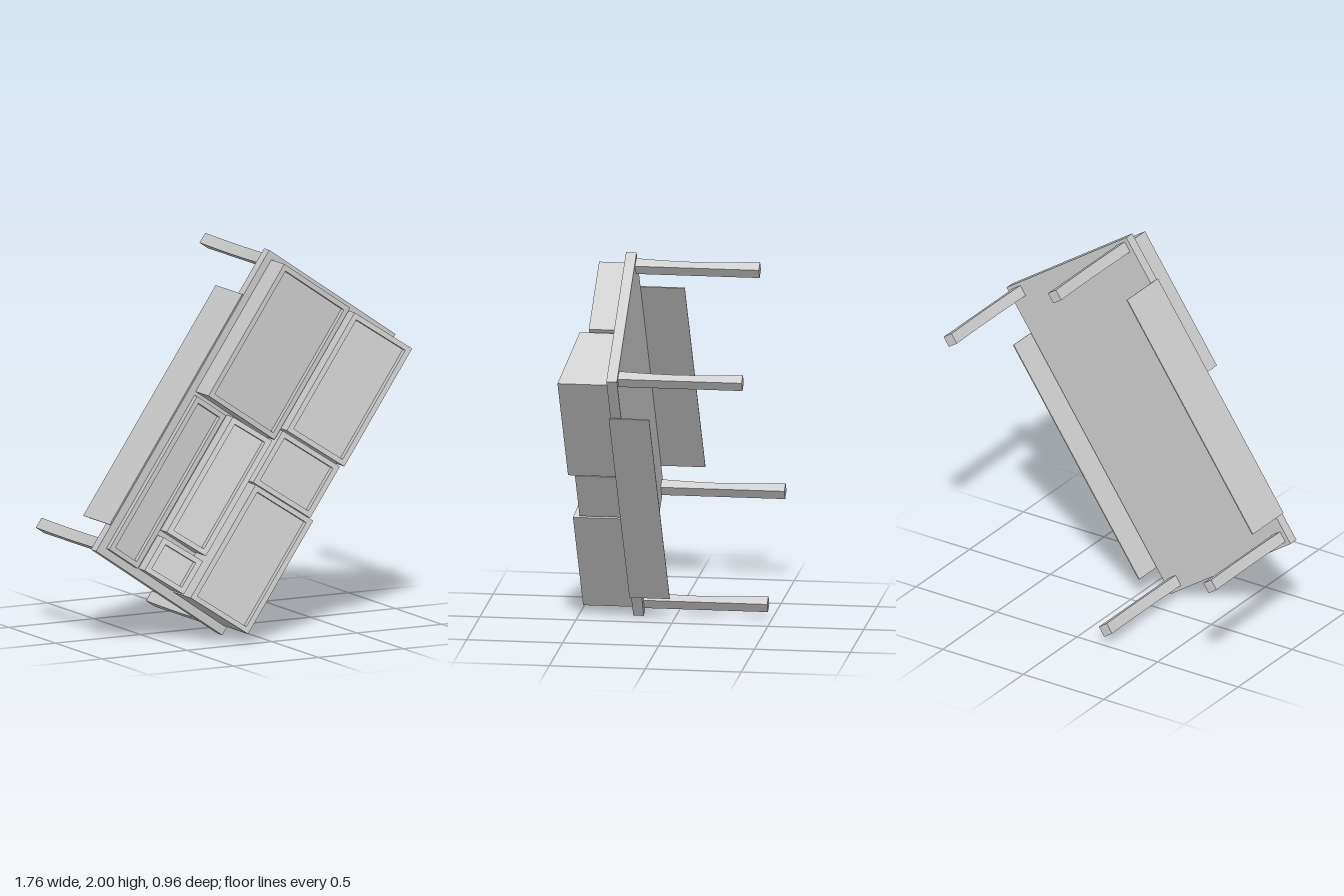
import * as THREE from 'three';

const material = new THREE.MeshStandardMaterial({ color: 0xcccccc, flatShading: true, side: THREE.DoubleSide });

function add(parent, name, geometry, x = 0, y = 0, z = 0) {
  const mesh = new THREE.Mesh(geometry, material);
  mesh.name = name;
  mesh.position.set(x, y, z);
  parent.add(mesh);
  return mesh;
}

// Move every vertex's z by a rule of its x and z
function reshapeZ(geometry, rule) {
  const p = geometry.attributes.position;
  for (let i = 0; i < p.count; i++) p.setZ(i, rule(p.getX(i), p.getZ(i)));
  geometry.computeVertexNormals();
  return geometry;
}

function rectangle(PathType, x0, x1, y0, y1) {
  const path = new PathType();
  path.moveTo(x0, y0);
  path.lineTo(x1, y0);
  path.lineTo(x1, y1);
  path.lineTo(x0, y1);
  path.closePath();
  return path;
}

// Box with a recessed front; the front runs from zLeft at x0 to zRight at x1
function createTray(name, x0, x1, y0, y1, zLeft, zRight) {
  const rim = 0.027, recess = 0.027, base = 0.2;
  const front = (x) => zLeft + (zRight - zLeft) * (x - x0) / (x1 - x0);
  const tray = new THREE.Group();
  tray.name = name;

  const frame = rectangle(THREE.Shape, x0, x1, y0, y1);
  frame.holes.push(rectangle(THREE.Path, x0 + rim, x1 - rim, y0 + rim, y1 - rim));
  const walls = new THREE.ExtrudeGeometry(frame, { depth: 1, bevelEnabled: false });
  add(tray, name + 'Walls', reshapeZ(walls, (x, z) => (z > 0.5 ? front(x) : base)));

  const floor = new THREE.PlaneGeometry(x1 - x0 - 2 * rim, y1 - y0 - 2 * rim);
  floor.translate((x0 + x1) / 2, (y0 + y1) / 2, 0);
  add(tray, name + 'Floor', reshapeZ(floor, (x) => front(x) - recess));
  return tray;
}

// Square leg, pinched on one side towards the middle
function createLegGeometry() {
  const size = 0.059, length = 0.65, segments = 8;
  const geometry = new THREE.BoxGeometry(size, size, length, 1, 1, segments);
  const p = geometry.attributes.position;
  for (let i = 0; i < p.count; i++) {
    const t = p.getZ(i) / length + 0.5;
    if (p.getX(i) < 0) p.setX(i, p.getX(i) + 0.014 * Math.sin(Math.PI * t) + 0.003 * t);
  }
  geometry.computeVertexNormals();
  return geometry;
}

export function createModel() {
  const model = new THREE.Group();
  model.name = 'trayTable';

  // Everything is laid out upright, then tilted about the front axis
  const table = new THREE.Group();
  table.name = 'tiltedTable';
  table.position.y = 1;
  table.rotation.z = -0.6;
  model.add(table);

  add(table, 'slab', new THREE.BoxGeometry(0.9, 1.805, 0.055), 0, 0, 0.192);

  // Trays: x0, x1, y0, y1, front z at x0, front z at x1
  const trays = {
    largeTray: [-0.41, 0.06, 0.077, 0.867, 0.358, 0.358],
    upperSideTray: [0.07, 0.43, 0.146, 0.853, 0.405, 0.48],
    middleSideTray: [0.07, 0.427, -0.171, 0.138, 0.37, 0.445],
    lowerSideTray: [0.07, 0.43, -0.857, -0.179, 0.405, 0.48],
    longTray: [-0.405, -0.2, -0.861, 0.057, 0.25, 0.25],
    narrowTray: [-0.18, 0.052, -0.625, 0.066, 0.285, 0.357],
    smallTray: [-0.18, 0.052, -0.855, -0.656, 0.285, 0.357],
  };
  for (const [name, size] of Object.entries(trays)) table.add(createTray(name, ...size));

  // Thin aprons along the two long edges
  add(table, 'deepApron', new THREE.BoxGeometry(0.006, 1.381, 0.285), -0.456, -0.057, 0.0775);
  add(table, 'shallowApron', new THREE.BoxGeometry(0.006, 1.381, 0.21), 0.463, -0.057, 0.121);

  // Legs at the corners, pointing backwards
  const legGeometry = createLegGeometry();
  for (const x of [-0.4, 0.385]) {
    for (const y of [-0.852, 0.855]) add(table, 'leg', legGeometry, x, y, -0.155);
  }

  return model;
}
